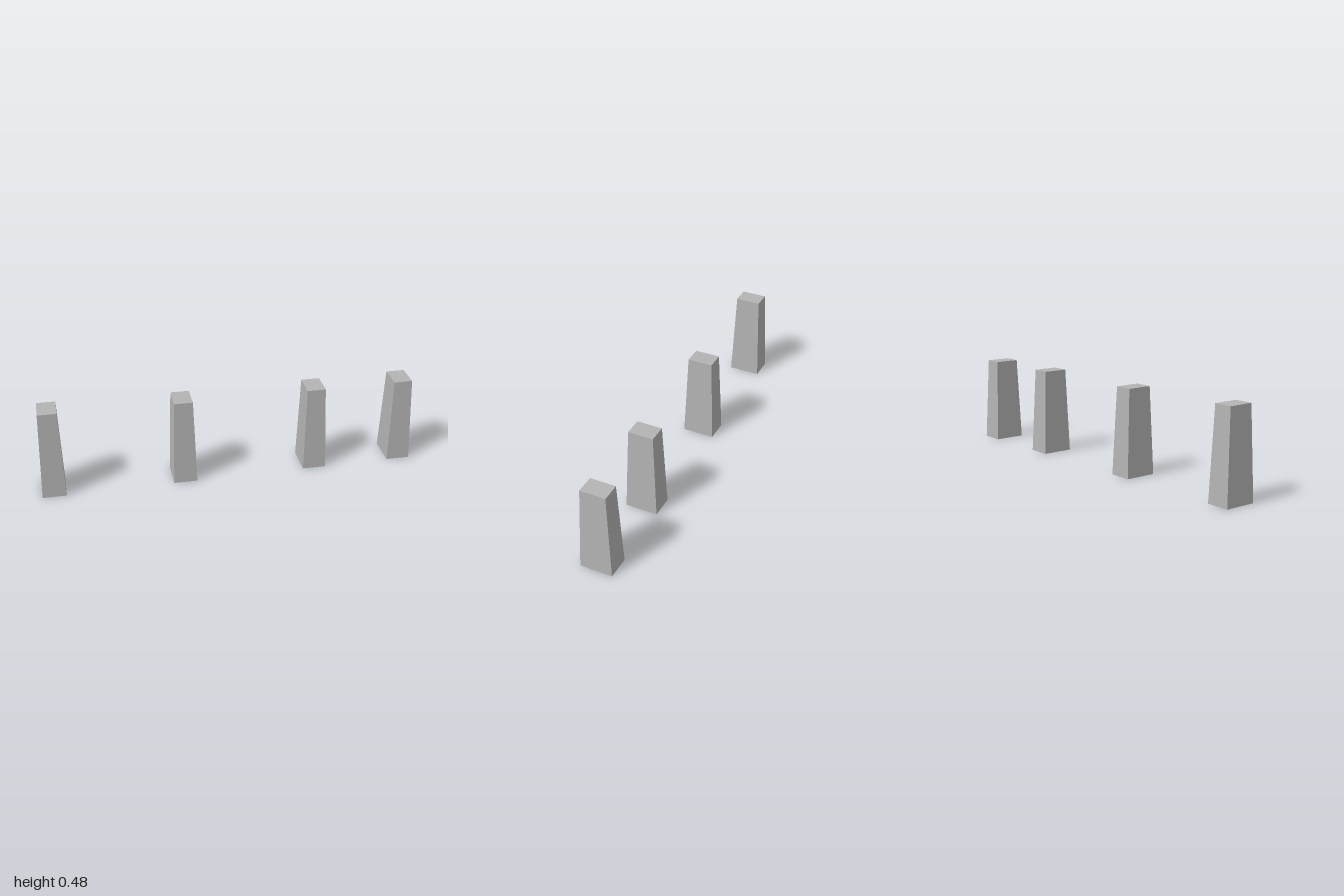
import * as THREE from 'three';

const WIDTH = 0.125, DEPTH = 0.172;          // footprint at the ground
const TOP_SCALE = 0.783;                     // taper towards the top
const TURN = -THREE.MathUtils.degToRad(13.4);

// Tapered four-sided post, capped on top and open underneath
function postGeometry(height) {
  const geo = new THREE.BoxGeometry(WIDTH, height, DEPTH).translate(0, height / 2, 0);
  const pos = geo.attributes.position;
  for (let i = 0; i < pos.count; i++) {
    if (pos.getY(i) > height / 2) {
      pos.setX(i, pos.getX(i) * TOP_SCALE);
      pos.setZ(i, pos.getZ(i) * TOP_SCALE);
    }
  }
  // drop the bottom face (fourth side of the box)
  const index = Array.from(geo.index.array);
  index.splice(18, 6);
  geo.setIndex(index);
  geo.clearGroups();
  geo.computeVertexNormals();
  return geo;
}

export function createModel() {
  const group = new THREE.Group();
  group.name = 'postRow';

  const stone = new THREE.MeshStandardMaterial({ color: 0xb4b4b4, side: THREE.DoubleSide });
  stone.name = 'stoneGrey';

  // Row of posts: x, z, height
  const posts = [
    [-0.918, -0.201, 0.477],
    [-0.242, -0.054, 0.463],
    [0.45, 0.098, 0.463],
    [0.918, 0.201, 0.463],
  ];
  posts.forEach(([x, z, height], i) => {
    const post = new THREE.Mesh(postGeometry(height), stone);
    post.name = `post${i + 1}`;
    post.position.set(x, 0, z);
    post.rotation.y = TURN;
    group.add(post);
  });

  return group;
}
